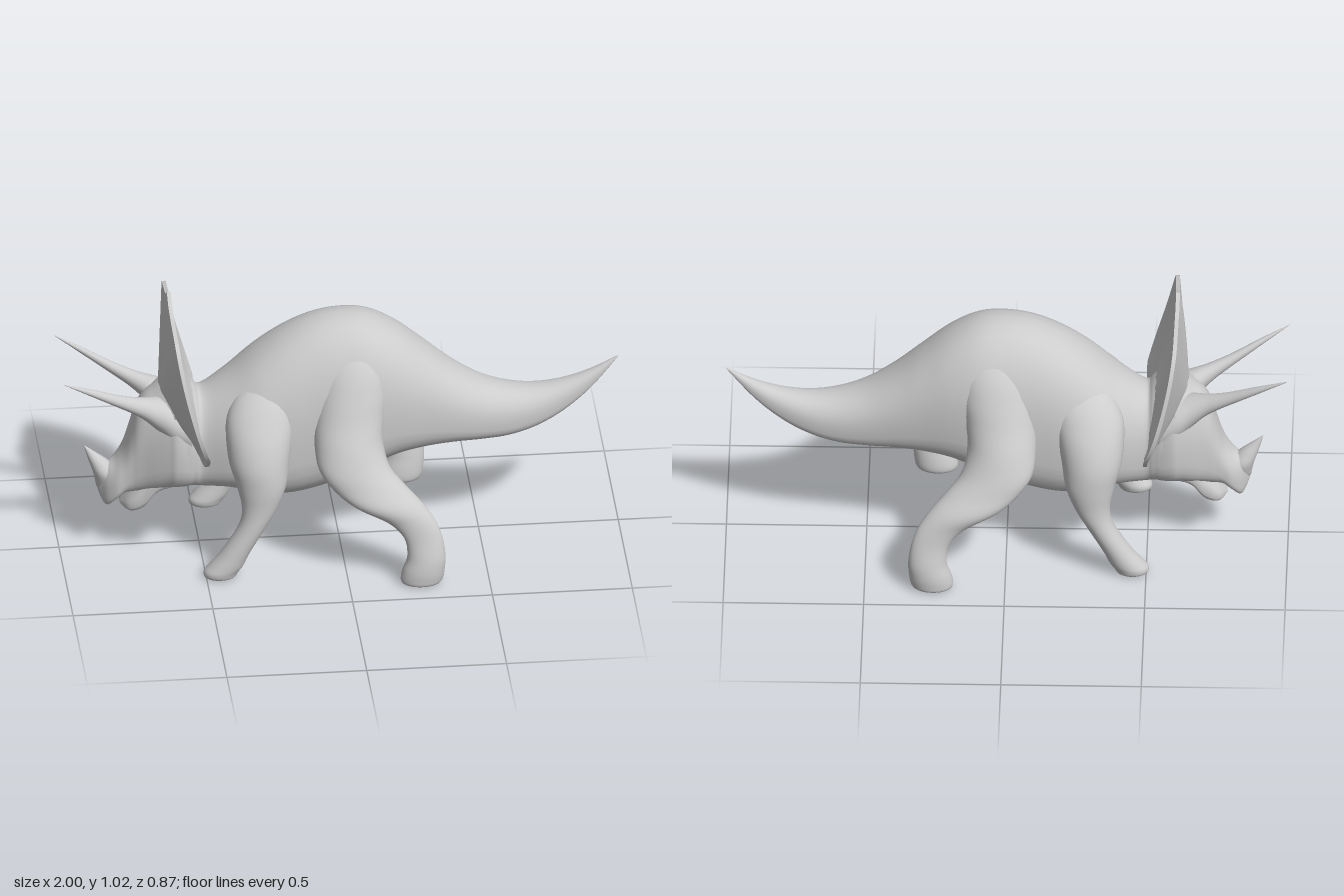
import * as THREE from 'three';
import { toCreasedNormals } from 'three/addons/utils/BufferGeometryUtils.js';

const SIDES = 32;
const TAU = Math.PI * 2;

// Catmull-Rom interpolation of every column of a row table
function smoothRows(rows, steps) {
  const out = [];
  const at = (i) => rows[Math.min(Math.max(i, 0), rows.length - 1)];
  for (let i = 0; i < rows.length - 1; i++) {
    for (let k = 0; k < steps; k++) {
      const t = k / steps;
      out.push(rows[i].map((b, j) => {
        const a = at(i - 1)[j], c = at(i + 1)[j], d = at(i + 2)[j];
        return b + 0.5 * t * (c - a + t * (2 * a - 5 * b + 4 * c - d + t * (3 * (b - c) + d - a)));
      }));
    }
  }
  out.push(rows[rows.length - 1]);
  return out;
}

// Closed skin over a list of rings, with both ends capped and faces turned outward
function skin(rings) {
  const n = rings[0].length;
  const pos = [], idx = [];
  rings.forEach((ring) => ring.forEach((p) => pos.push(p.x, p.y, p.z)));
  for (let i = 0; i < rings.length - 1; i++) {
    for (let j = 0; j < n; j++) {
      const a = i * n + j, b = i * n + (j + 1) % n;
      idx.push(a, b, a + n, b, b + n, a + n);
    }
  }
  [0, rings.length - 1].forEach((r) => {
    const c = new THREE.Vector3();
    rings[r].forEach((p) => c.addScaledVector(p, 1 / n));
    const ci = pos.length / 3;
    pos.push(c.x, c.y, c.z);
    for (let j = 0; j < n; j++) {
      const a = r * n + j, b = r * n + (j + 1) % n;
      if (r === 0) idx.push(ci, b, a); else idx.push(ci, a, b);
    }
  });
  let volume = 0;
  const v = (i) => new THREE.Vector3().fromArray(pos, i * 3);
  for (let i = 0; i < idx.length; i += 3) volume += v(idx[i]).dot(v(idx[i + 1]).cross(v(idx[i + 2])));
  if (volume < 0) idx.reverse();
  const g = new THREE.BufferGeometry();
  g.setAttribute('position', new THREE.Float32BufferAttribute(pos, 3));
  g.setIndex(idx);
  g.computeVertexNormals();
  return g;
}

function loft(rows, section, steps = 5) {
  return skin(smoothRows(rows, steps).map((row) =>
    Array.from({ length: SIDES }, (_, j) => section(row, (j / SIDES) * TAU))));
}

// Egg section across x with a flat belly: row is x, top, bottom, half width
function trunkSection([x, top, bottom, w], a) {
  const c = Math.cos(a), s = Math.sin(a);
  const mid = bottom + 0.42 * (top - bottom);
  const e = s < 0 ? 0.6 : 0.9;
  const rise = s < 0 ? mid - bottom : top - mid;
  return new THREE.Vector3(x, mid + rise * Math.sign(s) * Math.pow(Math.abs(s), e),
    w * Math.sign(c) * Math.pow(Math.abs(c), e));
}

// Horizontal oval: row is y, x min, x max, z inner, z outer
const limbSection = (side) => ([y, x0, x1, z0, z1], a) => new THREE.Vector3(
  (x0 + x1) / 2 + (x1 - x0) / 2 * Math.cos(a), y,
  side * ((z0 + z1) / 2 + (z1 - z0) / 2 * Math.sin(a)));

// Round section across x: row is x, y, z, radius
const hornSection = (side) => ([x, y, z, r], a) => new THREE.Vector3(
  x, y + r * Math.cos(a), side * (z + r * Math.sin(a)));

// Thin shield, swept back toward its lower rim and hollow behind
function frillGeometry() {
  const half = [[0.05, 0.985], [0.1, 0.965], [0.2, 0.942], [0.25, 0.925], [0.29, 0.88], [0.325, 0.8],
    [0.35, 0.7], [0.36, 0.62], [0.35, 0.55], [0.315, 0.49], [0.25, 0.44], [0.13, 0.4]];
  const fine = smoothRows([[0, 1.02], ...half, [0, 0.385]], 4);
  const outline = [...fine, ...fine.slice(1, -1).reverse().map(([z, y]) => [-z, y])];
  const ring = (r, face) => outline.map(([oz, oy]) => {
    const y = 0.58 + (oy - 0.58) * r;
    const drop = THREE.MathUtils.clamp((1 - y) / 0.5, 0, 1);
    const x = -0.607 + 0.11 * Math.pow(drop, 1.5) - 0.045 * (1 - r * r);
    const thick = 0.007 + 0.075 * (1 - r) * (1 - r);
    return new THREE.Vector3(x + face * thick, y, oz * r);
  });
  const radii = [0.05, 0.2, 0.35, 0.5, 0.65, 0.8, 0.9, 1];
  const rings = [...radii.map((r) => ring(r, -1)), ...radii.reverse().map((r) => ring(r, 1))];
  return toCreasedNormals(skin(rings), 1.1);
}

export function createModel() {
  const group = new THREE.Group();
  const hide = new THREE.MeshStandardMaterial({ color: 0xcccccc });
  hide.name = 'grey hide';
  const add = (name, geometry) => {
    const mesh = new THREE.Mesh(geometry, hide);
    mesh.name = name;
    group.add(mesh);
  };

  // Body and tail in one run, flaring into the frill at the neck
  add('bodyAndTail', loft([
    [-0.6, 0.74, 0.285, 0.15], [-0.555, 0.685, 0.275, 0.158], [-0.52, 0.645, 0.27, 0.15], [-0.49, 0.627, 0.265, 0.145],
    [-0.4, 0.685, 0.265, 0.18], [-0.3, 0.77, 0.245, 0.207], [-0.2, 0.84, 0.235, 0.212], [-0.1, 0.887, 0.25, 0.21],
    [0, 0.905, 0.285, 0.21], [0.1, 0.895, 0.33, 0.207], [0.2, 0.845, 0.37, 0.19], [0.3, 0.765, 0.388, 0.165],
    [0.4, 0.68, 0.395, 0.142], [0.5, 0.615, 0.395, 0.12], [0.6, 0.58, 0.4, 0.1], [0.7, 0.57, 0.425, 0.079],
    [0.8, 0.585, 0.475, 0.055], [0.9, 0.62, 0.555, 0.03], [1, 0.672, 0.667, 0.002]], trunkSection));

  // Head, jaw and frill
  add('head', loft([
    [-0.48, 0.56, 0.29, 0.13], [-0.54, 0.63, 0.272, 0.155], [-0.59, 0.69, 0.268, 0.162], [-0.62, 0.675, 0.265, 0.15],
    [-0.66, 0.64, 0.255, 0.13], [-0.7, 0.605, 0.245, 0.108], [-0.725, 0.56, 0.24, 0.096], [-0.745, 0.49, 0.238, 0.087],
    [-0.77, 0.41, 0.234, 0.08], [-0.8, 0.36, 0.208, 0.074], [-0.83, 0.335, 0.18, 0.055], [-0.85, 0.31, 0.2, 0.03],
    [-0.87, 0.28, 0.26, 0.004]], trunkSection));
  add('lowerJaw', loft([
    [-0.56, 0.4, 0.27, 0.11], [-0.65, 0.36, 0.245, 0.1], [-0.7, 0.31, 0.182, 0.088], [-0.74, 0.255, 0.164, 0.078],
    [-0.765, 0.218, 0.168, 0.06], [-0.783, 0.188, 0.178, 0.02]], trunkSection));
  add('frill', frillGeometry());
  add('noseHorn', loft([
    [0.25, -0.868, -0.78, -0.03, 0.03], [0.3, -0.878, -0.79, -0.042, 0.042], [0.34, -0.891, -0.82, -0.03, 0.03],
    [0.375, -0.902, -0.862, -0.015, 0.015], [0.41, -0.911, -0.908, -0.002, 0.002]], limbSection(1)));

  // Mirrored brow horns and legs
  [-1, 1].forEach((side) => {
    const label = side < 0 ? 'Far' : 'Near';
    add('browHorn' + label, loft([
      [-0.54, 0.5, 0.07, 0.09], [-0.6, 0.53, 0.072, 0.084], [-0.65, 0.565, 0.077, 0.065], [-0.7, 0.599, 0.093, 0.043],
      [-0.74, 0.622, 0.107, 0.032], [-0.8, 0.654, 0.125, 0.023], [-0.9, 0.71, 0.154, 0.013],
      [-1, 0.764, 0.182, 0.001]], hornSection(side)));
    add('frontLeg' + label, loft([
      [0.001, -0.49, -0.415, 0.24, 0.295], [0.006, -0.507, -0.395, 0.224, 0.311], [0.025, -0.508, -0.384, 0.217, 0.317],
      [0.05, -0.488, -0.366, 0.217, 0.318], [0.1, -0.447, -0.343, 0.22, 0.317], [0.2, -0.386, -0.285, 0.22, 0.314],
      [0.27, -0.372, -0.245, 0.212, 0.312], [0.35, -0.388, -0.212, 0.17, 0.314], [0.43, -0.412, -0.198, 0.11, 0.308],
      [0.51, -0.42, -0.183, 0.07, 0.282], [0.58, -0.415, -0.17, 0.05, 0.242], [0.64, -0.385, -0.165, 0.04, 0.198],
      [0.69, -0.335, -0.185, 0.03, 0.145]], limbSection(side)));
    add('hindLeg' + label, loft([
      [0, 0.2, 0.31, 0.345, 0.415], [0.007, 0.187, 0.328, 0.33, 0.43], [0.025, 0.184, 0.337, 0.325, 0.434],
      [0.06, 0.192, 0.342, 0.328, 0.435], [0.11, 0.207, 0.344, 0.337, 0.428], [0.18, 0.197, 0.333, 0.345, 0.41],
      [0.24, 0.14, 0.31, 0.325, 0.4], [0.3, 0.02, 0.265, 0.278, 0.395], [0.36, -0.055, 0.205, 0.24, 0.368],
      [0.42, -0.098, 0.155, 0.19, 0.345], [0.5, -0.108, 0.137, 0.11, 0.312], [0.58, -0.103, 0.147, 0.07, 0.272],
      [0.66, -0.09, 0.16, 0.05, 0.238], [0.74, -0.07, 0.158, 0.04, 0.2], [0.8, -0.04, 0.135, 0.03, 0.155],
      [0.84, 0, 0.09, 0.02, 0.1]], limbSection(side)));
  });
  return group;
}
